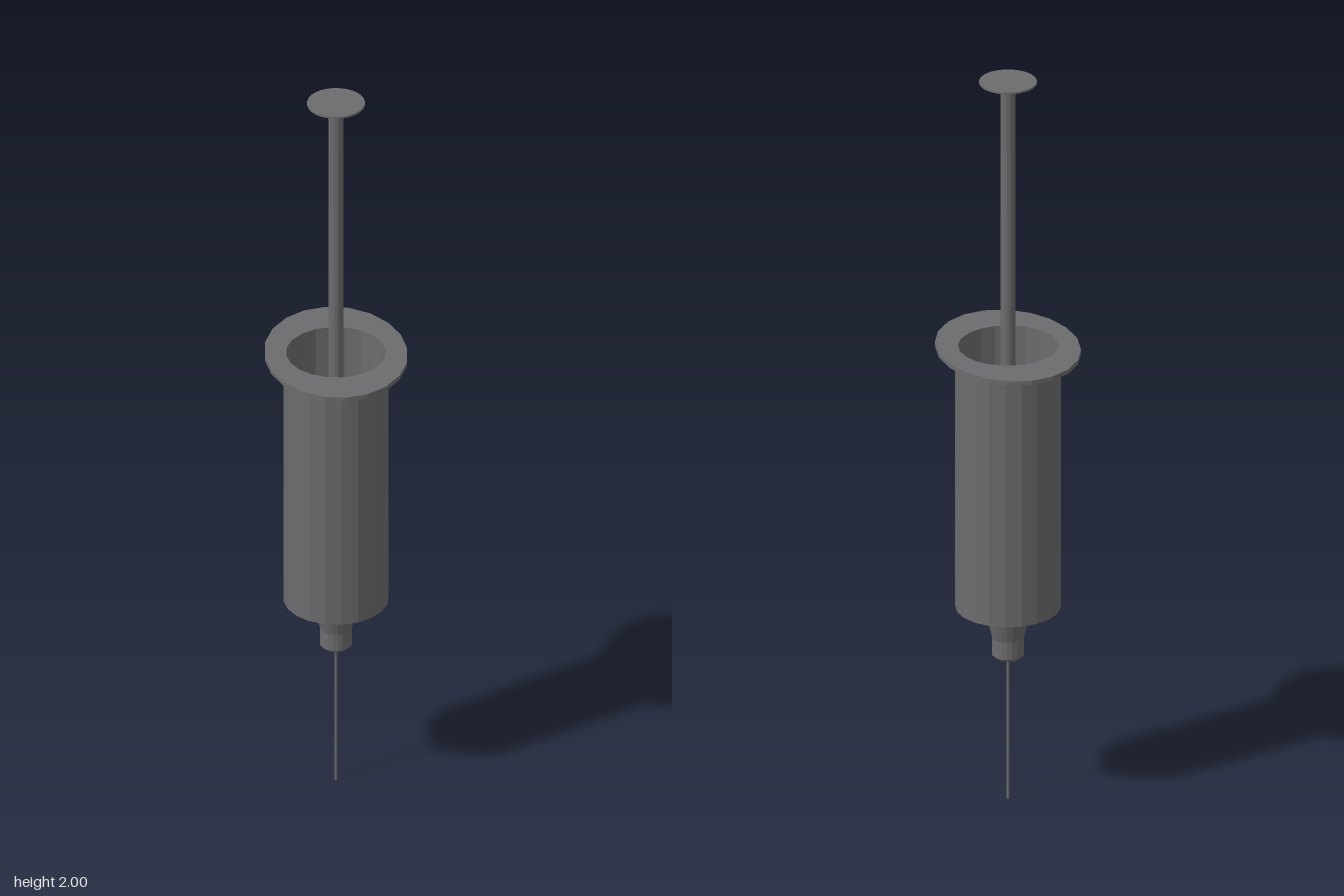
import * as THREE from 'three';

const SIDES = 20;

export function createModel() {
  const model = new THREE.Group();
  model.name = 'syringe';
  const grey = new THREE.MeshStandardMaterial({ color: 0x6c6c6e, flatShading: true });
  grey.name = 'grey';

  const add = (name, geometry, y = 0) => {
    const mesh = new THREE.Mesh(geometry, grey);
    mesh.name = name;
    mesh.position.y = y;
    model.add(mesh);
    return mesh;
  };
  const lathe = (profile, sides = SIDES) =>
    new THREE.LatheGeometry(profile.map(([r, y]) => new THREE.Vector2(r, y)), sides);
  // Cylinder between two heights
  const rod = (name, radius, y0, y1, sides) =>
    add(name, new THREE.CylinderGeometry(radius, radius, y1 - y0, sides), (y0 + y1) / 2);
  const ellipse = (a, b) => Array.from({ length: SIDES }, (_, i) => {
    const t = (i / SIDES) * Math.PI * 2;
    return new THREE.Vector2(a * Math.cos(t), b * Math.sin(t));
  });

  // Hollow barrel, open at the top
  add('barrel', lathe([
    [0, 0.535], [0.135, 0.535], [0.135, 1.252], [0.128, 1.252], [0.128, 0.545], [0, 0.545],
  ]));

  // Oval finger flange with a round opening
  const oval = new THREE.Shape(ellipse(0.232, 0.183));
  oval.holes.push(new THREE.Path(ellipse(0.128, 0.128)));
  const flange = new THREE.ExtrudeGeometry(oval, { depth: 0.012, bevelEnabled: false });
  flange.rotateX(-Math.PI / 2);
  add('fingerFlange', flange, 1.25);

  // Tapered nozzle holding the needle
  add('nozzle', lathe([
    [0, 0.388], [0.03, 0.392], [0.041, 0.402], [0.041, 0.45], [0.062, 0.536],
  ]));
  rod('needle', 0.004, 0, 0.4, 10);

  // Plunger: stopper inside the barrel, rod and thumb rest
  rod('plungerStopper', 0.121, 0.98, 1.06, SIDES);
  rod('plungerRod', 0.019, 1.05, 1.998, SIDES);
  rod('thumbRest', 0.074, 1.995, 2, 32);

  // Turn the oval flange to its slanted position
  model.rotation.y = THREE.MathUtils.degToRad(58.6);
  const group = new THREE.Group();
  group.add(model);
  return group;
}
